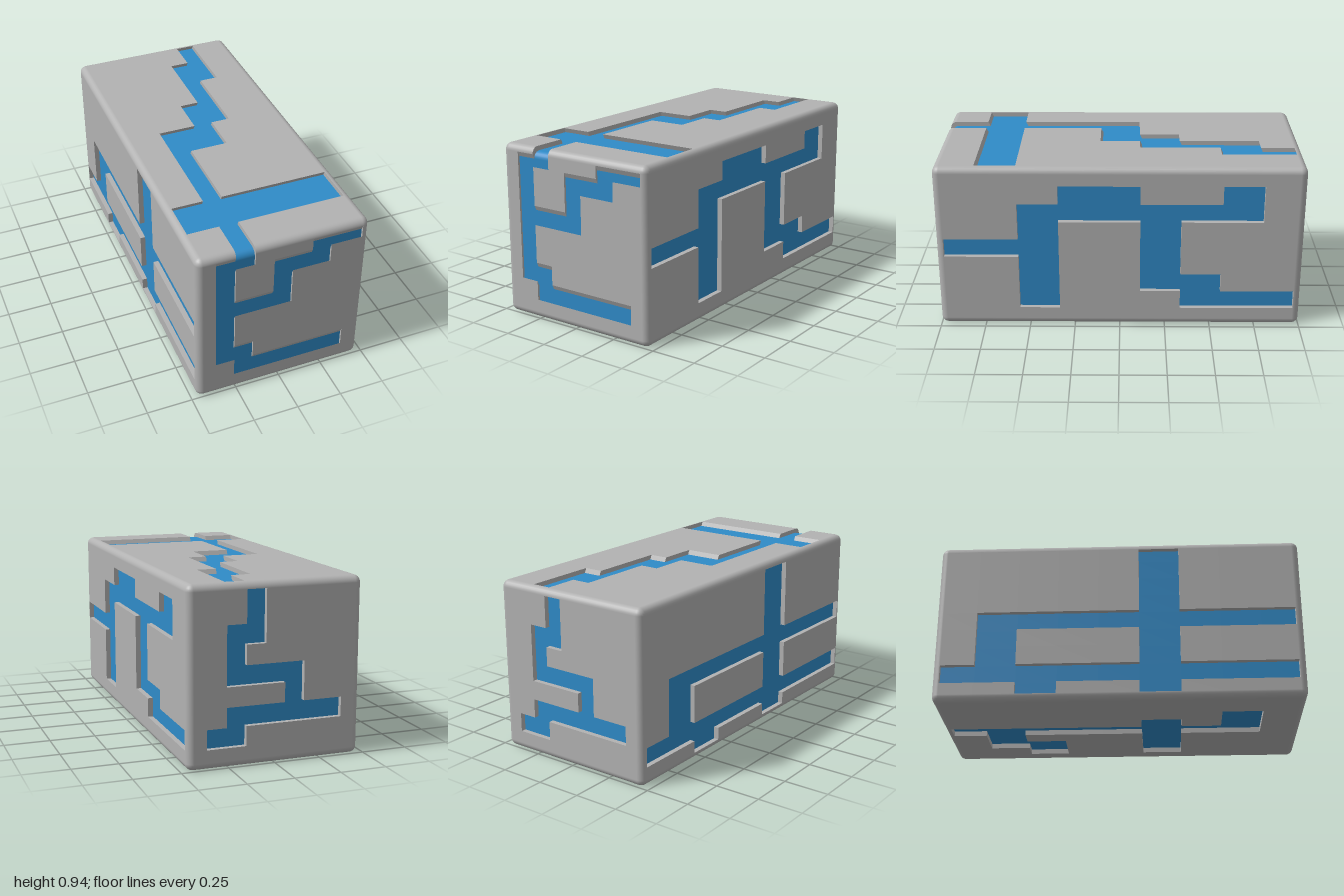
import * as THREE from 'three';

const HALF = new THREE.Vector3(0.47, 0.47, 1);
const R = 0.037;      // edge rounding
const N = 9;          // groove cells along each side of a face
const DEPTH = 0.028;
const V = (x, y, z) => new THREE.Vector3(x, y, z);
const X = V(1, 0, 0), Y = V(0, 1, 0), Z = V(0, 0, 1);
const neg = (v) => v.clone().negate();

// The front and top grooves are joined over the edge and sink together
const JOINED = V(0, -0.025, -0.012);

// n: outward, u: along columns, v: along rows; '#' marks a groove cell
const FACES = [
  { name: 'front', n: Z, u: X, v: neg(Y), sink: JOINED, open: [2, -1], map: [
    '.##...###', '.#..###..', '.#..#....', '.####....', '.#.......',
    '.#.......', '.##......', '..######.', '.........'] },
  { name: 'top', n: Y, u: X, v: Z, sink: JOINED, open: [2, N], map: [
    '......#..', '.....##..', '.....#...', '....##...', '..###....',
    '..#......', '..#......', '#########', '..#......'] },
  { name: 'leftSide', n: X, u: neg(Z), v: neg(Y), map: [
    '.........', '...##..#.', '..######.', '..#..#...', '###..#...',
    '..#..#...', '..#..##..', '..#...###', '.........'] },
  { name: 'rightSide', n: neg(X), u: Z, v: neg(Y), map: [
    '.....#...', '.....#...', '.....#...', '.....#...', '.########',
    '.#...#...', '.#...#...', '#########', '..#..#...'] },
  { name: 'back', n: neg(Z), u: neg(X), v: neg(Y), map: [
    '...#.....', '...#.....', '..##.....', '..#......', '..####...',
    '.....#...', '..######.', '.##......', '.........'] },
  { name: 'bottom', n: neg(Y), u: neg(X), v: Z, map: [
    '....#....', '..###....', '.##.#....', '....#....', '....#....',
    '.#####...', '....#....', '....###..', '.........'] },
];

const extent = (axis) => Math.abs(HALF.dot(axis));
const cut = (k, half) =>
  THREE.MathUtils.clamp(-half + (2 * half * k) / N, -(half - R), half - R);

// Collects quads, each turned towards a given direction
class Quads {
  constructor() { this.pos = []; this.nor = []; }
  add(a, b, c, d, facing, normals) {
    const n = b.clone().sub(a).cross(c.clone().sub(a)).normalize();
    let p = [a, b, c, d], m = normals;
    if (n.dot(facing) < 0) {
      p = [a, d, c, b];
      n.negate();
      if (m) m = [m[0], m[3], m[2], m[1]];
    }
    for (const i of [0, 1, 2, 0, 2, 3]) {
      this.pos.push(...p[i].toArray());
      this.nor.push(...(m ? m[i] : n).toArray());
    }
  }
  mesh(name, material) {
    const g = new THREE.BufferGeometry();
    g.setAttribute('position', new THREE.Float32BufferAttribute(this.pos, 3));
    g.setAttribute('normal', new THREE.Float32BufferAttribute(this.nor, 3));
    const mesh = new THREE.Mesh(g, material);
    mesh.name = name;
    return mesh;
  }
}

// One side: outer surface and groove walls in the shell, floors in the inlay
function buildFace({ name, n, u, v, sink, open, map }, shellMat, inlayMat) {
  const shell = new Quads(), inlay = new Quads();
  const d = sink || n.clone().multiplyScalar(-DEPTH);
  const at = (i, j) => n.clone().multiplyScalar(extent(n))
    .addScaledVector(u, cut(i, extent(u))).addScaledVector(v, cut(j, extent(v)));
  const groove = (i, j) => map[j]?.[i] === '#' || (open && open[0] === i && open[1] === j);
  const deep = (p) => p.clone().add(d);

  for (let j = 0; j < N; j++) for (let i = 0; i < N; i++) {
    const c = [at(i, j), at(i + 1, j), at(i + 1, j + 1), at(i, j + 1)];
    if (!groove(i, j)) { shell.add(...c, n); continue; }
    inlay.add(...c.map(deep), n);
    const around = [[0, -1, v], [1, 0, neg(u)], [0, 1, neg(v)], [-1, 0, u]];
    around.forEach(([di, dj, facing], k) => {
      if (groove(i + di, j + dj)) return;
      const a = c[k], b = c[(k + 1) % 4];
      shell.add(a, b, deep(b), deep(a), facing);
    });
  }
  const group = new THREE.Group();
  group.name = name;
  group.add(shell.mesh(name + 'Shell', shellMat), inlay.mesh(name + 'GrooveFloor', inlayMat));
  return group;
}

// Directions and points around a rounded edge between sides e1 and e2
function arc(e1, e2, steps = 6) {
  const mid = e1.clone().multiplyScalar(extent(e1) - R).addScaledVector(e2, extent(e2) - R);
  return Array.from({ length: steps + 1 }, (_, k) => {
    const t = (k / steps) * Math.PI / 2;
    const n = e1.clone().multiplyScalar(Math.cos(t)).addScaledVector(e2, Math.sin(t));
    return { n, p: mid.clone().addScaledVector(n, R) };
  });
}

function addEdge(quads, axis, e1, e2, from, to, shift = V(0, 0, 0)) {
  const pts = arc(e1, e2);
  const at = (q, s) => q.p.clone().addScaledVector(axis, s).add(shift);
  for (let k = 0; k + 1 < pts.length; k++) {
    const a = pts[k], b = pts[k + 1];
    quads.add(at(a, from), at(a, to), at(b, to), at(b, from), a.n, [a.n, a.n, b.n, b.n]);
  }
}

export function createModel() {
  const shellMat = new THREE.MeshStandardMaterial({ color: 0xb2b2b2 });
  shellMat.name = 'grey shell';
  const inlayMat = new THREE.MeshStandardMaterial({ color: 0x2f8bc8 });
  inlayMat.name = 'blue groove';

  const block = new THREE.Group();
  block.name = 'block';
  block.position.y = HALF.y;
  for (const face of FACES) block.add(buildFace(face, shellMat, inlayMat));

  // Rounded edges, with a gap where the groove crosses from top to front
  const edges = new Quads(), bridge = new Quads();
  const x0 = cut(2, HALF.x), x1 = cut(3, HALF.x);
  for (const [axis, p, q] of [[X, Y, Z], [Y, Z, X], [Z, X, Y]]) {
    const len = extent(axis) - R;
    for (const s of [1, -1]) for (const t of [1, -1]) {
      const e1 = p.clone().multiplyScalar(s), e2 = q.clone().multiplyScalar(t);
      if (axis === X && s > 0 && t > 0) {
        addEdge(edges, X, e1, e2, -len, x0);
        addEdge(edges, X, e1, e2, x1, len);
        addEdge(bridge, X, e1, e2, x0, x1, JOINED);
      } else addEdge(edges, axis, e1, e2, -len, len);
    }
  }
  // Side walls of the crossing
  const rim = arc(Y, Z);
  for (const [x, facing] of [[x0, X], [x1, neg(X)]]) {
    for (let k = 0; k + 1 < rim.length; k++) {
      const a = rim[k].p.clone().setX(x), b = rim[k + 1].p.clone().setX(x);
      edges.add(a, b, b.clone().add(JOINED), a.clone().add(JOINED), facing);
    }
  }
  block.add(edges.mesh('roundedEdges', shellMat), bridge.mesh('grooveCrossing', inlayMat));

  // Rounded corners
  for (const upper of [true, false]) for (let k = 0; k < 4; k++) {
    const phi = (k + 0.5) * Math.PI / 2;
    const corner = new THREE.Mesh(new THREE.SphereGeometry(
      R, 6, 6, k * Math.PI / 2, Math.PI / 2, upper ? 0 : Math.PI / 2, Math.PI / 2), shellMat);
    corner.name = 'roundedCorner';
    corner.position.set(
      -Math.sign(Math.cos(phi)) * (HALF.x - R),
      (upper ? 1 : -1) * (HALF.y - R),
      Math.sign(Math.sin(phi)) * (HALF.z - R));
    block.add(corner);
  }

  const model = new THREE.Group();
  model.name = 'groovedBlock';
  model.add(block);
  return model;
}
